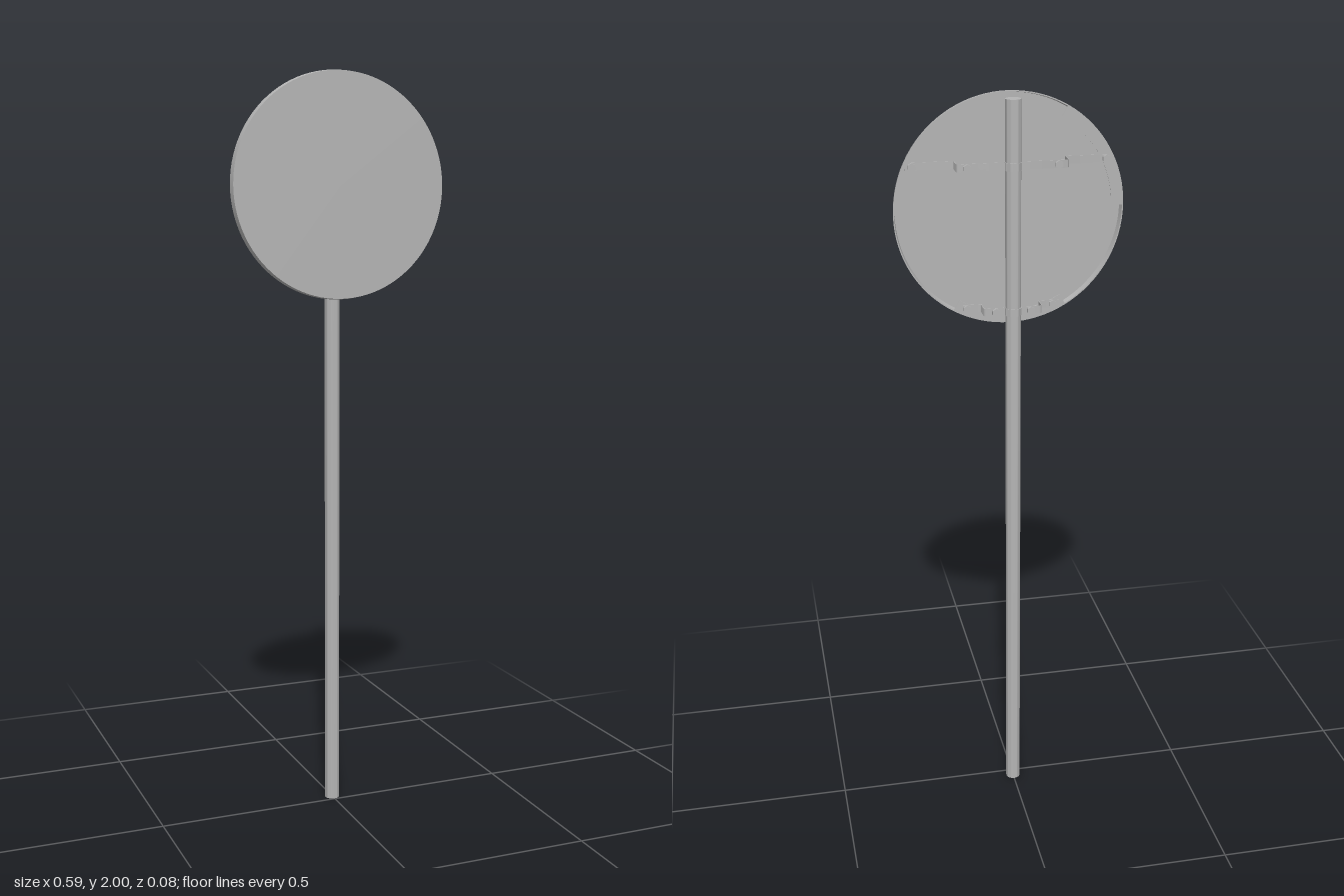
import * as THREE from 'three';
import { toCreasedNormals } from 'three/addons/utils/BufferGeometryUtils.js';

const steel = new THREE.MeshStandardMaterial({ color: 0xb4b4b4 });
steel.name = 'grey steel';

const SIGN_Y = 1.705, POLE_Z = -0.022, POLE_R = 0.02;
const STRIP = 0.0016, STRIP_H = 0.02;

function add(parent, name, geometry, x = 0, y = 0, z = 0) {
  const mesh = new THREE.Mesh(geometry, steel);
  mesh.name = name;
  mesh.position.set(x, y, z);
  parent.add(mesh);
  return mesh;
}

// Bent metal strip: a path in x and z, thickened and extruded upright
function stripGeometry(path) {
  const side = (s) => path.map((p, i) => {
    const a = path[Math.max(i - 1, 0)], b = path[Math.min(i + 1, path.length - 1)];
    const t = b.clone().sub(a).normalize();
    return new THREE.Vector2(p.x - t.y * s, p.y + t.x * s);
  });
  const outline = [...side(STRIP / 2), ...side(-STRIP / 2).reverse()];
  const g = new THREE.ExtrudeGeometry(new THREE.Shape(outline), { depth: STRIP_H, bevelEnabled: false });
  g.translate(0, 0, -STRIP_H / 2);
  g.rotateX(Math.PI / 2);
  return toCreasedNormals(g, 0.6);
}

// Half circle round the pole, from -x to +x; dir +1 passes in front, -1 behind
function poleArc(dir) {
  const pts = [], r = POLE_R + STRIP / 2;
  for (let i = 0; i <= 16; i++) {
    const a = Math.PI * (1 - i / 16);
    pts.push(new THREE.Vector2(r * Math.cos(a), POLE_Z + dir * r * Math.sin(a)));
  }
  return pts;
}

// One arm on the +x side, from the pole out to the foot on the sign
function armPath(step, end) {
  const foot = 0.02 - STRIP / 2, r = 0.007, pts = [];
  for (let i = 0; i <= 5; i++) {
    const a = (i / 5) * Math.PI / 2;
    pts.push(new THREE.Vector2(step - r + r * Math.sin(a), POLE_Z + r - r * Math.cos(a)));
  }
  for (let i = 0; i <= 3; i++) {
    const a = (i / 3) * Math.PI / 2, q = 0.002;
    pts.push(new THREE.Vector2(step + q - q * Math.cos(a), foot - q + q * Math.sin(a)));
  }
  pts.push(new THREE.Vector2(end, foot));
  return pts;
}

// Hex bolt lying along z, head towards the back
function addBolt(parent, name, x, headZ, withNut) {
  const bolt = new THREE.Group();
  bolt.name = name;
  const head = new THREE.CylinderGeometry(0.0105, 0.0105, 0.008, 6).toNonIndexed();
  head.computeVertexNormals();
  head.rotateX(Math.PI / 2);
  add(bolt, 'boltHead', head, 0, 0, 0.004);
  if (withNut) {
    const shank = new THREE.CylinderGeometry(0.005, 0.005, 0.007, 16);
    shank.rotateX(Math.PI / 2);
    add(bolt, 'boltShank', shank, 0, 0, 0.0105);
  }
  bolt.position.set(x, 0, headZ);
  parent.add(bolt);
}

function makeBracket(name, y, step, end, clampBolt, footBolt) {
  const g = new THREE.Group();
  g.name = name;
  const arm = armPath(step, end);
  const mirrored = arm.map((p) => new THREE.Vector2(-p.x, p.y)).reverse();
  add(g, 'bracketStrip', stripGeometry([...mirrored, ...poleArc(1), ...arm]));
  const flat = clampBolt + 0.013;
  add(g, 'clampStrap', stripGeometry([
    new THREE.Vector2(-flat, POLE_Z), ...poleArc(-1), new THREE.Vector2(flat, POLE_Z),
  ]));
  for (const s of [-1, 1]) {
    addBolt(g, 'clampBolt', s * clampBolt, -0.031, true);
    addBolt(g, 'footBolt', s * footBolt, 0.011, false);
  }
  g.position.y = y;
  return g;
}

export function createModel() {
  const model = new THREE.Group();
  model.name = 'roundSignOnPole';

  // Pole
  add(model, 'pole', toCreasedNormals(new THREE.CylinderGeometry(POLE_R, POLE_R, 1.99, 32), 0.6),
    0, 0.995, POLE_Z);

  // Sign: shallow dish open to the back
  const sign = new THREE.Group();
  sign.name = 'sign';
  sign.position.y = SIGN_Y;
  const profile = [[0, 0.037], [0.291, 0.037], [0.294, 0.02], [0.297, 0.02], [0.297, 0.022], [0.2945, 0.04], [0, 0.04]];
  const dish = new THREE.LatheGeometry(profile.map(([r, h]) => new THREE.Vector2(r, h)), 96);
  dish.rotateX(Math.PI / 2);
  add(sign, 'signDish', toCreasedNormals(dish, 0.5));

  // Three rim flanges that carry the brackets
  for (const centre of [30, 150, 270]) {
    const a0 = THREE.MathUtils.degToRad(centre - 30), a1 = THREE.MathUtils.degToRad(centre + 30);
    const s = new THREE.Shape();
    s.absarc(0, 0, 0.295, a0, a1, false);
    s.absarc(0, 0, 0.265, a1, a0, true);
    s.closePath();
    const flange = new THREE.ExtrudeGeometry(s, { depth: 0.002, bevelEnabled: false, curveSegments: 20 });
    add(sign, 'rimFlange', flange, 0, 0, 0.02);
  }
  model.add(sign);

  // Brackets
  model.add(makeBracket('upperBracket', 1.826, 0.142, 0.264, 0.116, 0.248));
  model.add(makeBracket('lowerBracket', 1.452, 0.076, 0.13, 0.046, 0.113));
  return model;
}
